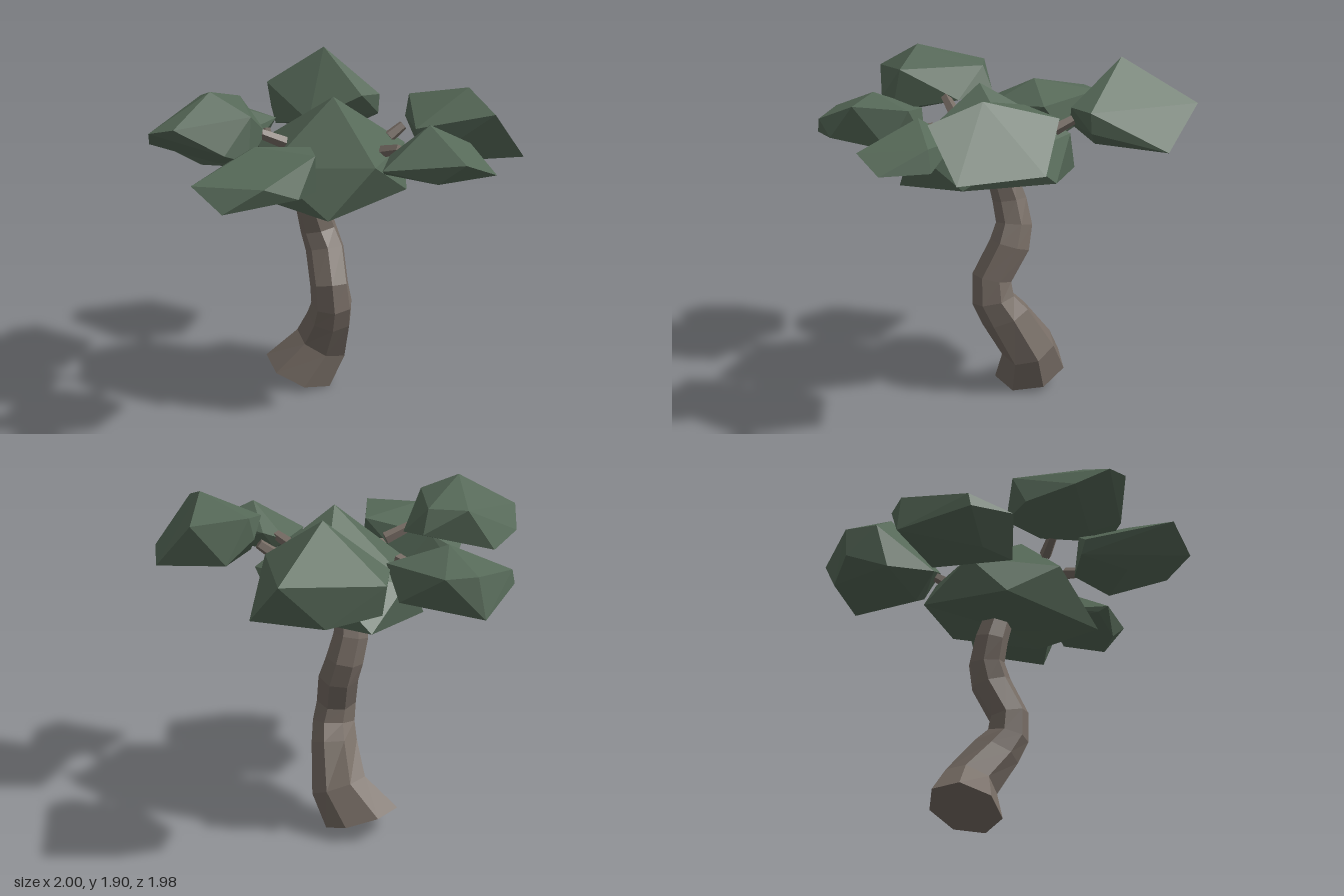
import * as THREE from 'three';
import { ConvexGeometry } from 'three/addons/geometries/ConvexGeometry.js';

export function createModel() {
  const tree = new THREE.Group();
  tree.name = 'bonsaiTree';

  const leaf = new THREE.MeshStandardMaterial({ name: 'leaf green', color: 0x566958, flatShading: true });
  const bark = new THREE.MeshStandardMaterial({ name: 'bark brown', color: 0x776d65, flatShading: true });

  function add(name, geometry, material) {
    const mesh = new THREE.Mesh(geometry, material);
    mesh.name = name;
    tree.add(mesh);
    return mesh;
  }

  // Faceted foliage: apex, upper ring, lower ring, underside
  function clump(name, points) {
    add(name, new ConvexGeometry(points.map((p) => new THREE.Vector3(...p))), leaf);
  }

  // Trunk: each ring is [x, y, z, radius, slope along x, slope along z]
  const rings = [
    [-0.285, 0.083, -0.172, 0.2, -0.38, 0.1],
    [-0.18, 0.26, -0.25, 0.148, -0.45, 0.1],
    [-0.06, 0.46, -0.185, 0.128, -0.35, -0.2],
    [-0.005, 0.56, -0.145, 0.118, -0.15, -0.15],
    [-0.01, 0.68, -0.13, 0.11, 0.2, 0.1],
    [-0.095, 0.86, -0.182, 0.11, 0.3, 0.1],
    [-0.14, 0.97, -0.175, 0.102, 0.2, -0.1],
    [-0.145, 1.1, -0.135, 0.095, 0, -0.2],
    [-0.11, 1.26, -0.1, 0.08, -0.2, -0.2],
  ];
  const rows = rings.length - 1;
  const trunk = new THREE.CylinderGeometry(1, 1, 1, 7, rows);
  const pos = trunk.attributes.position;
  for (let i = 0; i < pos.count; i++) {
    const [x, y, z, r, sx, sz] = rings[Math.round((pos.getY(i) + 0.5) * rows)];
    const dx = pos.getX(i) * r, dz = pos.getZ(i) * r;
    pos.setXYZ(i, x + dx, y + dx * sx + dz * sz, z + dz);
  }
  trunk.computeVertexNormals();
  add('trunk', trunk, bark);

  // Short twigs joining the crown to the outer clumps
  const twigs = [
    [[-0.18, 1.53, -0.42], [-0.26, 1.58, -0.48]],
    [[0.19, 1.52, -0.39], [0.23, 1.58, -0.46]],
    [[0.33, 1.5, -0.18], [0.44, 1.53, -0.19]],
    [[-0.32, 1.53, 0.04], [-0.46, 1.5, 0.06]],
    [[-0.04, 1.55, 0.19], [-0.1, 1.61, 0.31]],
    [[0.1, 1.48, 0.21], [0.14, 1.46, 0.32]],
  ];
  for (const [from, to] of twigs) {
    const a = new THREE.Vector3(...from), b = new THREE.Vector3(...to);
    const dir = b.clone().sub(a);
    const twig = add('twig', new THREE.CylinderGeometry(0.028, 0.035, dir.length(), 5), bark);
    twig.position.copy(a).add(b).multiplyScalar(0.5);
    twig.quaternion.setFromUnitVectors(new THREE.Vector3(0, 1, 0), dir.normalize());
  }

  clump('centreFoliage', [
    [0.05, 1.77, -0.09],
    [-0.3, 1.49, -0.43], [0.2, 1.47, -0.51], [0.46, 1.47, 0.02], [-0.05, 1.43, 0.31], [-0.45, 1.45, 0],
    [-0.51, 1.24, -0.29], [-0.05, 1.28, -0.55], [0.4, 1.28, -0.3], [0.33, 1.2, 0.24], [-0.35, 1.21, 0.2],
    [-0.05, 1.17, -0.08],
  ]);

  clump('backRightFoliage', [
    [-0.51, 1.9, -0.6],
    [-0.9, 1.65, -0.52], [-0.78, 1.68, -0.4], [-0.16, 1.67, -0.55], [-0.15, 1.66, -0.69], [-0.67, 1.68, -0.99],
    [-0.43, 1.45, -0.99], [-0.76, 1.45, -0.78], [-0.88, 1.5, -0.53], [-0.7, 1.45, -0.39], [-0.39, 1.52, -0.35],
    [-0.16, 1.55, -0.69], [-0.3, 1.46, -0.6],
  ]);

  clump('backLeftFoliage', [
    [0.57, 1.82, -0.6],
    [0.2, 1.74, -0.54], [0.5, 1.64, -0.25], [0.84, 1.73, -0.49], [0.29, 1.73, -0.85],
    [0.87, 1.47, -0.71], [0.49, 1.49, -0.94], [0.22, 1.5, -0.68], [0.2, 1.62, -0.51], [0.52, 1.45, -0.31],
    [0.5, 1.45, -0.62],
  ]);

  clump('leftFoliage', [
    [0.63, 1.69, -0.21],
    [0.96, 1.55, -0.11], [0.75, 1.58, -0.4], [0.43, 1.56, -0.29], [0.41, 1.5, -0.15], [0.58, 1.49, 0.1],
    [1, 1.47, -0.31], [0.81, 1.43, -0.07], [0.55, 1.46, 0.05], [0.45, 1.45, -0.2], [0.75, 1.46, -0.42],
  ]);

  clump('frontLeftFoliage', [
    [0.17, 1.64, 0.61],
    [0.11, 1.5, 0.99], [0.42, 1.5, 0.79], [0.46, 1.62, 0.47], [0.23, 1.59, 0.27],
    [-0.08, 1.53, 0.48], [-0.17, 1.43, 0.61],
    [0.29, 1.38, 0.95], [0.49, 1.43, 0.62], [0.33, 1.38, 0.33], [0, 1.36, 0.37], [-0.16, 1.36, 0.57],
    [0.1, 1.33, 0.67],
  ]);

  clump('frontFoliage', [
    [-0.17, 1.87, 0.6],
    [-0.49, 1.77, 0.38], [-0.3, 1.68, 0.91], [-0.14, 1.72, 0.88], [0.05, 1.76, 0.52], [-0.33, 1.77, 0.24],
    [-0.54, 1.54, 0.53], [-0.44, 1.58, 0.79], [0.03, 1.58, 0.69], [0.07, 1.53, 0.56], [-0.13, 1.6, 0.24],
    [-0.35, 1.64, 0.19], [-0.13, 1.5, 0.6],
  ]);

  clump('rightFoliage', [
    [-0.63, 1.67, 0.12],
    [-0.96, 1.6, 0.02], [-0.82, 1.53, 0.39], [-0.52, 1.52, 0.42], [-0.38, 1.53, 0.25],
    [-0.43, 1.57, -0.13], [-0.89, 1.6, -0.14],
    [-1, 1.38, 0.04], [-0.82, 1.45, 0.41], [-0.61, 1.34, 0.28], [-0.36, 1.37, 0.25], [-0.57, 1.4, -0.16],
  ]);

  return tree;
}
